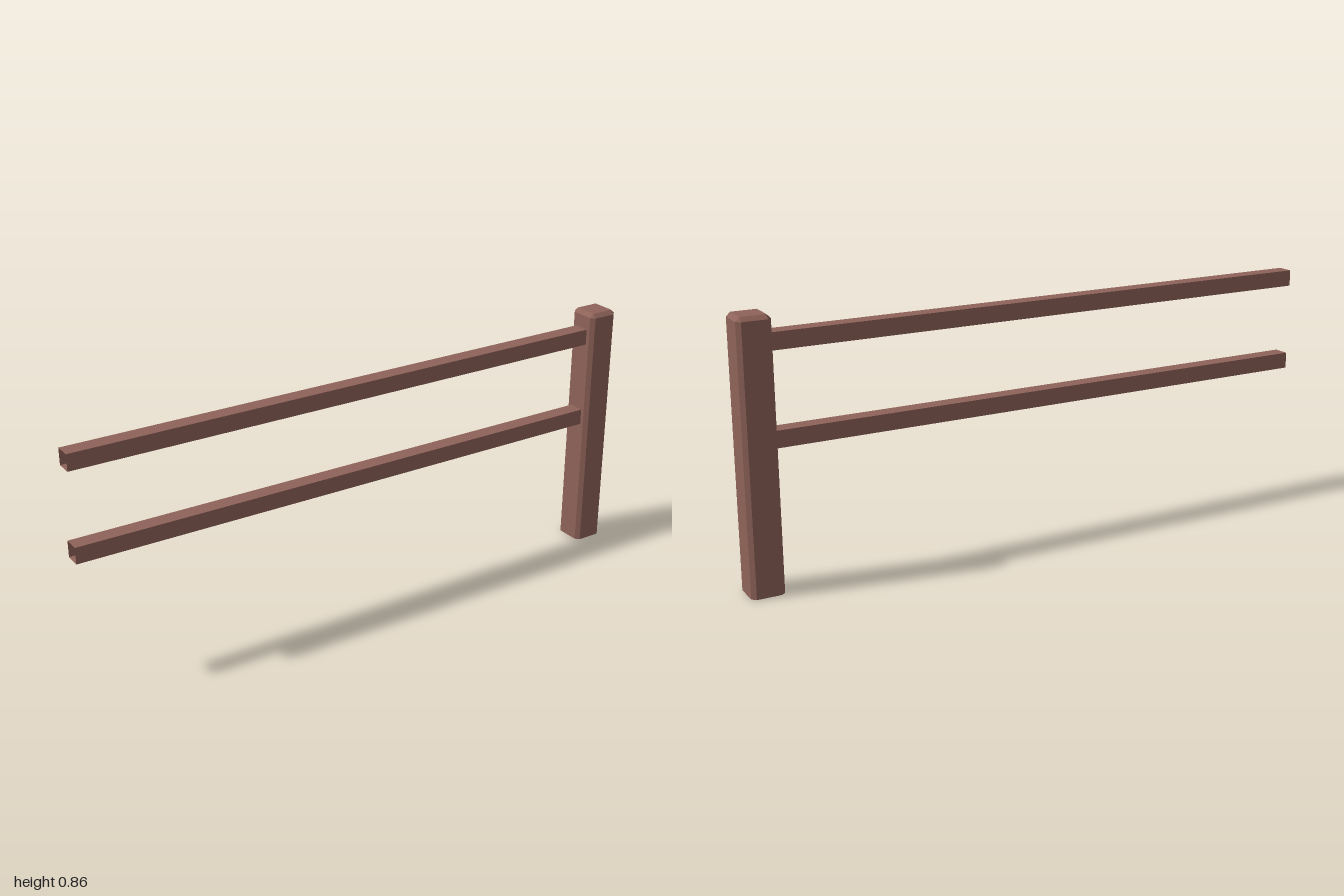
import * as THREE from 'three';

// Four corners, each cut into two points (counter-clockwise from above)
function squareRing(half, flat, y) {
  const ring = [];
  let pair = [[flat, half], [half, flat]];
  for (let k = 0; k < 4; k++) {
    pair.forEach(([x, z]) => ring.push(new THREE.Vector3(x, y, z)));
    pair = pair.map(([x, z]) => [z, -x]);
  }
  return ring;
}

// Chamfered post with a bevelled top and an open foot
function postGeometry(half, flat, shoulder, height) {
  const rings = [
    squareRing(half, flat, 0),
    squareRing(half, flat, shoulder),
    squareRing(flat, flat, height),
  ];
  const points = [];
  const addTriangle = (a, b, c) => {
    if (a.equals(b) || b.equals(c) || c.equals(a)) return;
    [a, b, c].forEach((p) => points.push(p));
  };
  for (let r = 0; r < 2; r++) {
    for (let i = 0; i < 8; i++) {
      const j = (i + 1) % 8;
      addTriangle(rings[r][i], rings[r][j], rings[r + 1][j]);
      addTriangle(rings[r][i], rings[r + 1][j], rings[r + 1][i]);
    }
  }
  const top = rings[2];
  addTriangle(top[0], top[2], top[4]);
  addTriangle(top[0], top[4], top[6]);
  const geometry = new THREE.BufferGeometry().setFromPoints(points);
  geometry.computeVertexNormals();
  return geometry;
}

// Square rail along x, open at both ends
function railGeometry(length, half) {
  const radius = half * Math.SQRT2;
  const geometry = new THREE.CylinderGeometry(radius, radius, length, 4, 1, true)
    .rotateY(Math.PI / 4)
    .rotateZ(Math.PI / 2)
    .toNonIndexed();
  geometry.computeVertexNormals();
  return geometry;
}

export function createModel() {
  const group = new THREE.Group();
  group.name = 'fenceSection';

  const wood = new THREE.MeshStandardMaterial({
    color: 0x8f6359,
    flatShading: true,
    side: THREE.DoubleSide,
  });
  wood.name = 'brownWood';

  const post = new THREE.Mesh(postGeometry(0.053, 0.04, 0.844, 0.857), wood);
  post.name = 'post';
  post.position.x = 0.947;
  group.add(post);

  // Two rails running from the post
  const rail = railGeometry(1.894, 0.027);
  [['lowerRail', 0.477], ['upperRail', 0.772]].forEach(([name, y]) => {
    const mesh = new THREE.Mesh(rail, wood);
    mesh.name = name;
    mesh.position.set(-0.053, y, 0);
    group.add(mesh);
  });

  return group;
}
